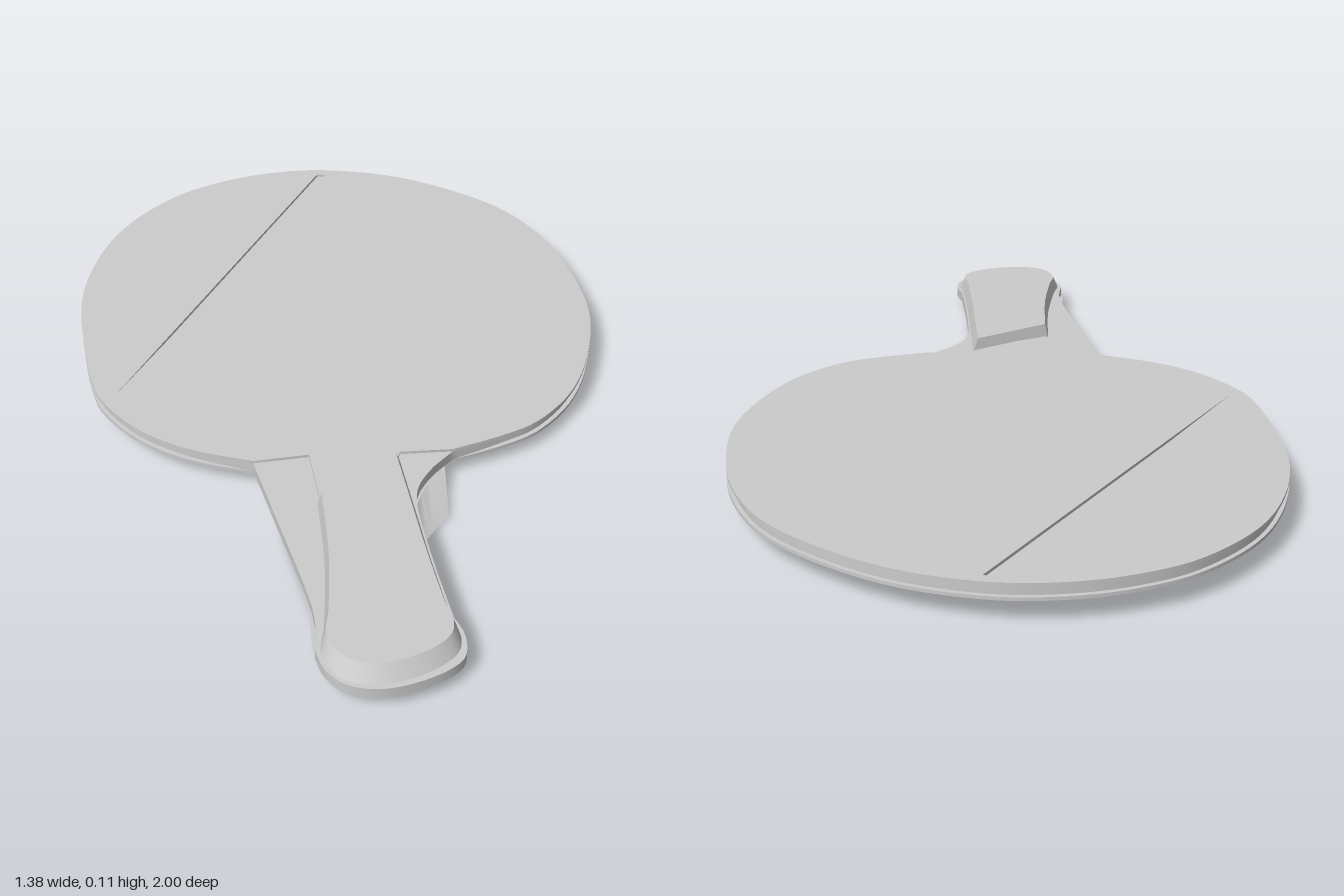
import * as THREE from 'three';
import { toCreasedNormals } from 'three/addons/utils/BufferGeometryUtils.js';

// Outlines are [x, z] pairs as seen from above.
const BLADE = [[0, 0.39], [0.14, 0.40], [0.25, 0.39], [0.38, 0.33], [0.5, 0.22], [0.61, 0.06], [0.67, -0.13],
  [0.69, -0.3], [0.665, -0.48], [0.58, -0.65], [0.45, -0.81], [0.28, -0.93], [0.12, -0.985], [-0.03, -1],
  [-0.18, -0.98], [-0.35, -0.9], [-0.48, -0.78], [-0.585, -0.62], [-0.65, -0.43], [-0.69, -0.25],
  [-0.69, -0.15], [-0.65, -0.02], [-0.57, 0.1], [-0.45, 0.21]];
const HANDLE_LEFT = [[-0.45, 0.21], [-0.48, 0.4], [-0.53, 0.7], [-0.58, 0.82]];
const HANDLE_END = [[-0.58, 0.82], [-0.585, 0.88], [-0.56, 0.94], [-0.49, 0.985], [-0.39, 1], [-0.31, 0.985],
  [-0.275, 0.93], [-0.27, 0.87]];
const HANDLE_RIGHT = [[-0.27, 0.87], [-0.22, 0.68], [-0.16, 0.5], [-0.09, 0.43], [0, 0.39]];

// Smooth run of points through an open [x, z] list
function smooth(list, n) {
  const curve = new THREE.SplineCurve(list.map(([x, z]) => new THREE.Vector2(x, -z)));
  return curve.getPoints(n);
}
const straight = (list) => list.map(([x, z]) => new THREE.Vector2(x, -z));

// Flat slab between two heights
function slab(points, y0, y1, hole) {
  const clean = points.filter((p, i) => i === 0 || p.distanceTo(points[i - 1]) > 1e-4);
  if (clean[0].distanceTo(clean[clean.length - 1]) < 1e-4) clean.pop();
  const shape = new THREE.Shape(clean);
  if (hole) shape.holes.push(new THREE.Path(straight(hole)));
  const geometry = new THREE.ExtrudeGeometry(shape, { depth: y1 - y0, bevelEnabled: false });
  return geometry.rotateX(-Math.PI / 2).translate(0, y0, 0);
}

// The handle leans to one side: centre x at a given z
const axisX = (z) => -0.27 - 0.267 * (z - 0.35);

// Shrink one face of a grip: z runs from zFrom to zTo, width is scaled
function taper(geometry, y, zFrom, zTo, width) {
  const p = geometry.attributes.position;
  for (let i = 0; i < p.count; i++) {
    if (Math.abs(p.getY(i) - y) > 1e-4) continue;
    const z = THREE.MathUtils.mapLinear(p.getZ(i), ...zFrom, ...zTo);
    p.setXYZ(i, axisX(z) + (p.getX(i) - axisX(p.getZ(i))) * width, y, z);
  }
  return geometry;
}

export function createModel() {
  const material = new THREE.MeshStandardMaterial({ color: 0xcccccc, side: THREE.DoubleSide });
  const model = new THREE.Group();
  model.name = 'tableTennisPaddle';

  function add(parent, name, geometry) {
    const mesh = new THREE.Mesh(toCreasedNormals(geometry, 0.6), material);
    mesh.name = name;
    parent.add(mesh);
  }

  // Paddle body rises slightly toward the far end
  const body = new THREE.Group();
  body.name = 'paddleBody';
  body.position.y = 0.065;
  body.rotation.x = 0.0165;
  model.add(body);

  // Wooden core, set in a little around the blade, with the handle tang
  const inset = BLADE.map(([x, z], i) => {
    const k = i === 0 || i === BLADE.length - 1 ? 1 : 0.985;
    return [x * k, -0.3 + (z + 0.3) * k];
  });
  const core = [...smooth(inset, 110), ...smooth(HANDLE_LEFT, 12), ...smooth(HANDLE_END, 28),
    ...smooth(HANDLE_RIGHT, 16)];
  add(body, 'core', slab(core, -0.0135, 0.0135));

  // Rubber sheets with a notched edge at the neck
  const neck = straight([[-0.32, 0.25], [-0.365, 0.40], [-0.15, 0.38], [-0.12, 0.34]]);
  const rubber = [...smooth(BLADE, 110), ...neck];
  const groove = [[0.265, -0.91], [0.285, -0.895], [-0.66, -0.175]];
  add(body, 'topRubber', slab(rubber, 0.0125, 0.021, groove));
  add(body, 'bottomRubber', slab(rubber, -0.021, -0.0125));

  // Upper grip with a rounded end and a chamfered side
  const upper = [...straight([[-0.13, 0.36], [-0.375, 0.41]]),
    ...smooth([[-0.375, 0.41], [-0.45, 0.6], [-0.53, 0.76], [-0.575, 0.84], [-0.565, 0.92], [-0.5, 0.97],
      [-0.4, 0.985], [-0.32, 0.97], [-0.285, 0.93], [-0.275, 0.87], [-0.23, 0.7], [-0.18, 0.53], [-0.13, 0.36]], 60)];
  add(body, 'upperGrip', taper(slab(upper, 0.012, 0.052), 0.052, [0.36, 0.985], [0.37, 0.96], 0.9));

  // Lower grip, flaring and sloping up into the neck
  const lower = [...straight([[-0.02, 0.385], [-0.14, 0.31], [-0.44, 0.26]]),
    ...smooth([[-0.44, 0.26], [-0.48, 0.45], [-0.53, 0.68], [-0.575, 0.8], [-0.56, 0.87], [-0.49, 0.92],
      [-0.39, 0.93], [-0.31, 0.91], [-0.28, 0.86], [-0.22, 0.68], [-0.16, 0.5], [-0.02, 0.385]], 60)];
  add(model, 'lowerGrip', taper(slab(lower, 0, 0.042), 0, [0.26, 0.93], [0.44, 0.87], 0.9));

  return model;
}
